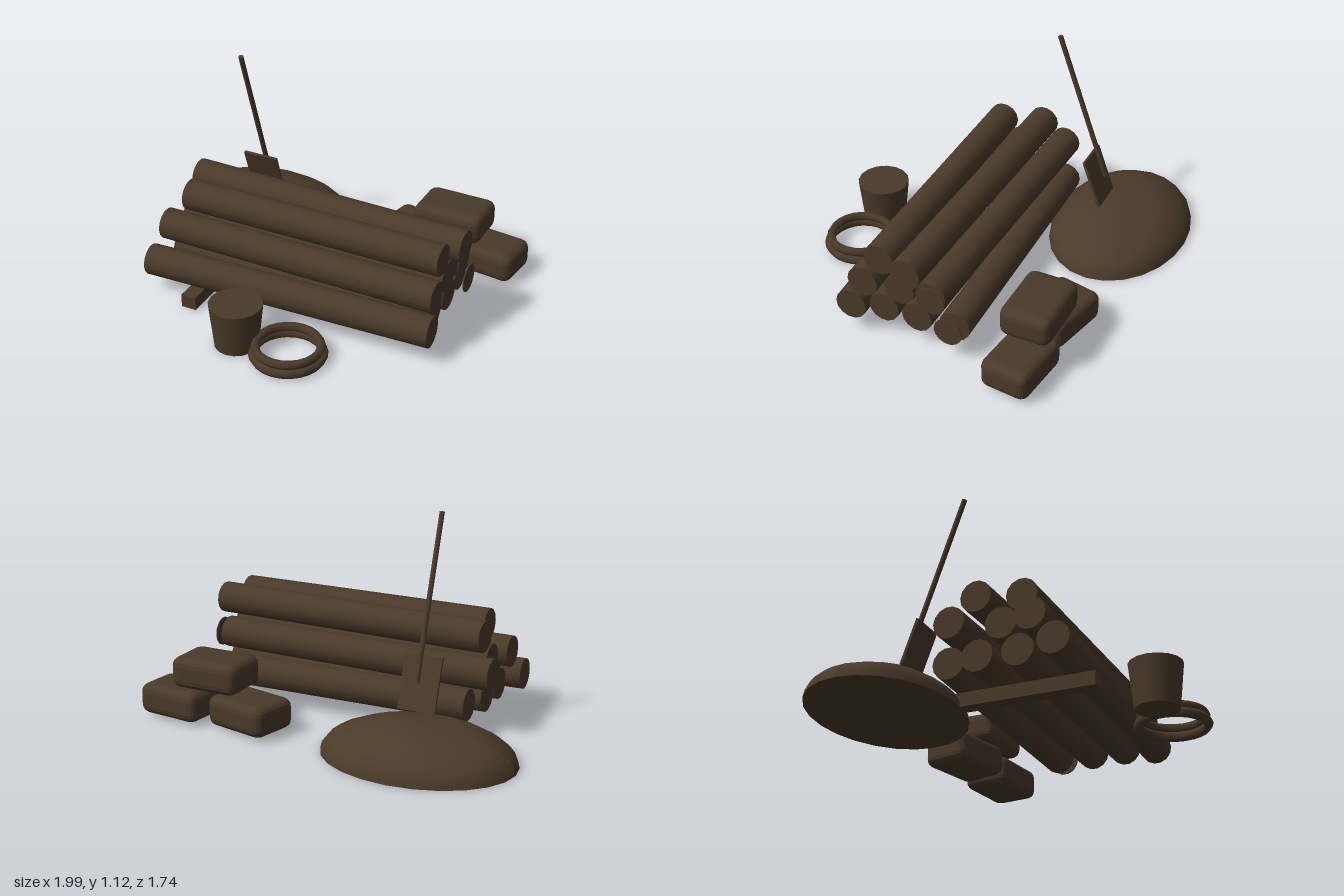
import * as THREE from 'three';
import { RoundedBoxGeometry } from 'three/addons/geometries/RoundedBoxGeometry.js';

export function createModel() {
  const model = new THREE.Group();
  model.name = 'campSupplies';
  const brown = new THREE.MeshStandardMaterial({ color: 0x4a3a2a });
  brown.name = 'dark brown';

  const add = (name, geometry, x, y, z, parent = model) => {
    const mesh = new THREE.Mesh(geometry, brown);
    mesh.name = name;
    mesh.position.set(x, y, z);
    parent.add(mesh);
    return mesh;
  };

  // Cylinder laid between two points
  const rod = (name, a, b, radius, sides, parent) => {
    const from = new THREE.Vector3(...a), to = new THREE.Vector3(...b);
    const dir = to.clone().sub(from);
    const mid = from.clone().add(to).multiplyScalar(0.5);
    const mesh = add(name, new THREE.CylinderGeometry(radius, radius, dir.length(), sides), mid.x, mid.y, mid.z, parent);
    mesh.quaternion.setFromUnitVectors(new THREE.Vector3(0, 1, 0), dir.normalize());
    return mesh;
  };

  // Stacked logs: left-hand x and z, right-hand x and z, height
  const logs = new THREE.Group();
  logs.name = 'logPile';
  model.add(logs);
  [
    [-0.69, 0.42, 0.85, 0.375, 0.16],
    [-0.63, 0.22, 0.8, 0.22, 0.16],
    [-0.64, 0.02, 0.8, 0.04, 0.16],
    [-0.61, -0.14, 0.785, -0.155, 0.16],
    [-0.665, 0.295, 0.84, 0.31, 0.315],
    [-0.62, 0.13, 0.82, 0.12, 0.315],
    [-0.715, -0.09, 0.805, -0.04, 0.315],
    [-0.57, 0.215, 0.83, 0.22, 0.47],
    [-0.63, 0.005, 0.88, 0.055, 0.47],
  ].forEach(([x0, z0, x1, z1, y]) => rod('log', [x0, y, z0], [x1, y, z1], 0.081, 14, logs));

  // Thin cut slices beside the rear logs
  for (const [y, z] of [[0.16, -0.145], [0.315, -0.055]])
    rod('logSlice', [0.829, y, z], [0.835, y, z], 0.075, 14, logs);

  // Ground beam under the pile
  add('groundBeam', new THREE.BoxGeometry(0.08, 0.07, 0.73), -0.412, 0.039, 0.165);

  // Earth mound: half ellipsoid with gentle lumps and a flat base
  const dome = new THREE.SphereGeometry(1, 24, 8, 0, Math.PI * 2, 0, Math.PI / 2);
  const p = dome.attributes.position;
  for (let i = 0; i < p.count; i++) {
    const x = p.getX(i), y = p.getY(i), z = p.getZ(i);
    const lump = 1 + 0.018 * Math.sin(7 * x + 2 * z) * Math.cos(6 * z - 3 * x) * y;
    p.setXYZ(i, x * 0.492 * lump, Math.max(0, y) * 0.183 * lump, z * 0.362 * lump);
  }
  dome.computeVertexNormals();
  add('earthMound', dome, -0.507, 0.002, -0.508);
  const base = add('moundBase', new THREE.CircleGeometry(1, 24), -0.507, 0.002, -0.508);
  base.rotation.x = Math.PI / 2;
  base.scale.set(0.492, 0.362, 1);

  // Shovel leaning forward, blade in the mound
  rod('shovelHandle', [-0.457, 0.34, -0.425], [-0.457, 1.115, -0.147], 0.0135, 8);
  const blade = add('shovelBlade', new THREE.BoxGeometry(0.195, 0.27, 0.014), -0.458, 0.327, -0.384);
  blade.rotation.x = 0.35;

  // Three plump sacks, one resting on two
  const sackShape = (w, h, d) => {
    const g = new RoundedBoxGeometry(w, h, d, 2, 0.045);
    const v = g.attributes.position;
    for (let i = 0; i < v.count; i++) {
      const taper = 1 - 0.06 * (2 * v.getX(i) / w) ** 2;
      v.setY(i, v.getY(i) * taper);
      v.setZ(i, v.getZ(i) * taper);
    }
    g.computeVertexNormals();
    return g;
  };
  [
    [0.395, 0.095, -0.535, 0.36, 0.27, -0.23],
    [0.808, 0.095, -0.515, 0.355, 0.265, -0.12],
    [0.602, 0.27, -0.515, 0.375, 0.275, -0.02],
  ].forEach(([x, y, z, w, d, turn]) => {
    add('sack', sackShape(w, 0.162, d), x, y, z).rotation.y = turn;
  });

  // Bucket
  add('bucket', new THREE.CylinderGeometry(0.135, 0.11, 0.235, 16), -0.048, 0.122, 0.685);

  // Coiled rope: two rings
  for (const [radius, tube, y] of [[0.17, 0.025, 0.03], [0.16, 0.022, 0.072]])
    add('ropeCoil', new THREE.TorusGeometry(radius, tube, 6, 24), 0.23, y, 0.672).rotation.x = Math.PI / 2;

  return model;
}
